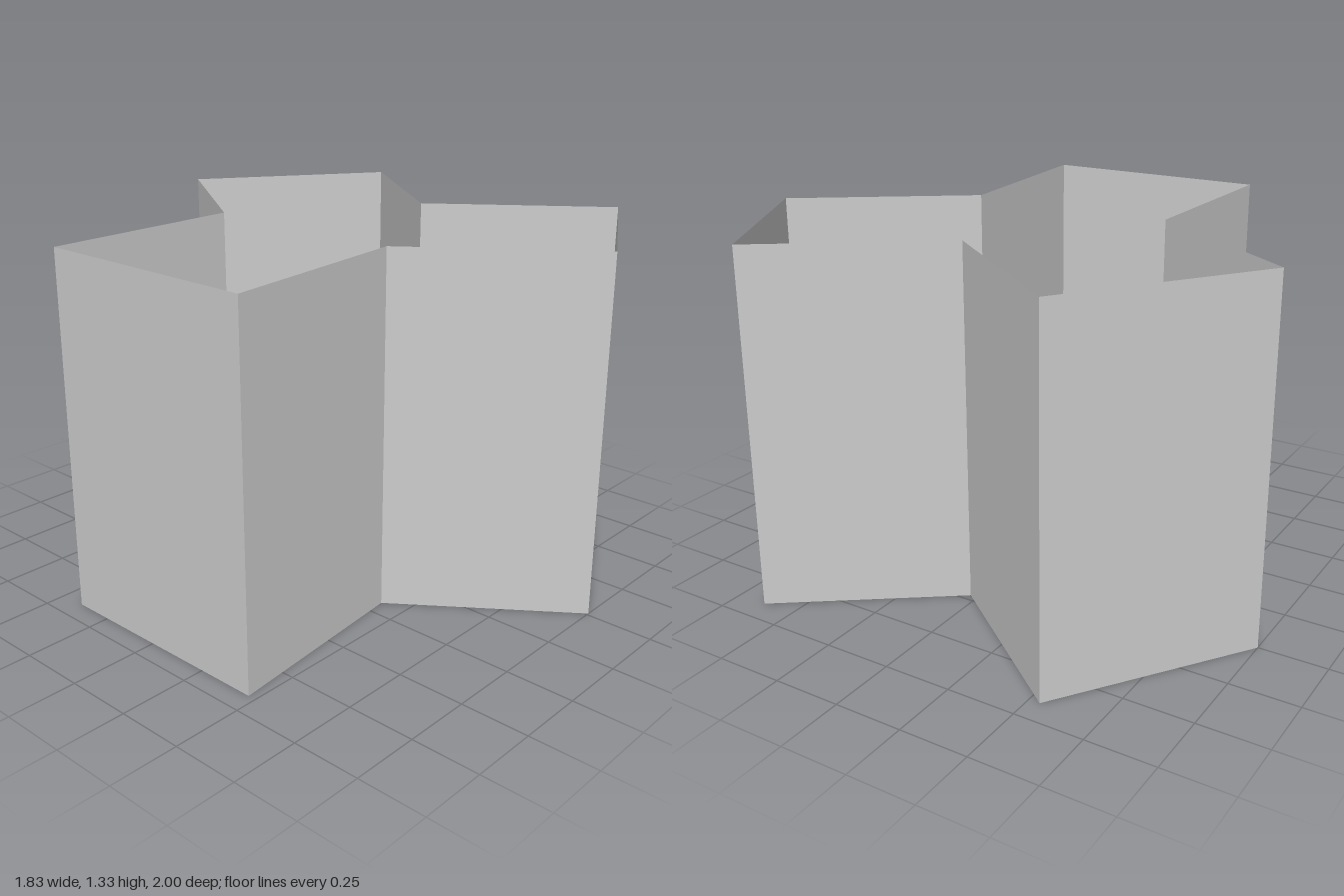
import * as THREE from 'three';

export function createModel() {
  const group = new THREE.Group();
  group.name = 'threeArmedEnclosure';
  const grey = new THREE.MeshStandardMaterial({ color: 0xcccccc, side: THREE.DoubleSide });
  grey.name = 'light grey';

  // Closed three-armed outline (x, z), open at top and bottom
  const height = 1.325;
  const outline = [
    [-0.18, 0.4], [0.26, 1], [0.91, 0.63],
    [0.47, 0.03], [0.91, -0.54], [0.25, -1],
    [-0.16, -0.4], [-0.92, -0.4], [-0.92, 0.47],
  ];

  // One flat, outward-facing panel per side of the outline
  outline.forEach(([ax, az], i) => {
    const [bx, bz] = outline[(i + 1) % outline.length];
    const dx = bx - ax, dz = bz - az;
    const panel = new THREE.Mesh(new THREE.PlaneGeometry(Math.hypot(dx, dz), height), grey);
    panel.position.set((ax + bx) / 2, height / 2, (az + bz) / 2);
    panel.rotation.y = Math.atan2(-dz, dx);
    panel.name = `${i % 3 === 1 ? 'armEndWall' : 'armSideWall'}${i + 1}`;
    group.add(panel);
  });
  return group;
}
